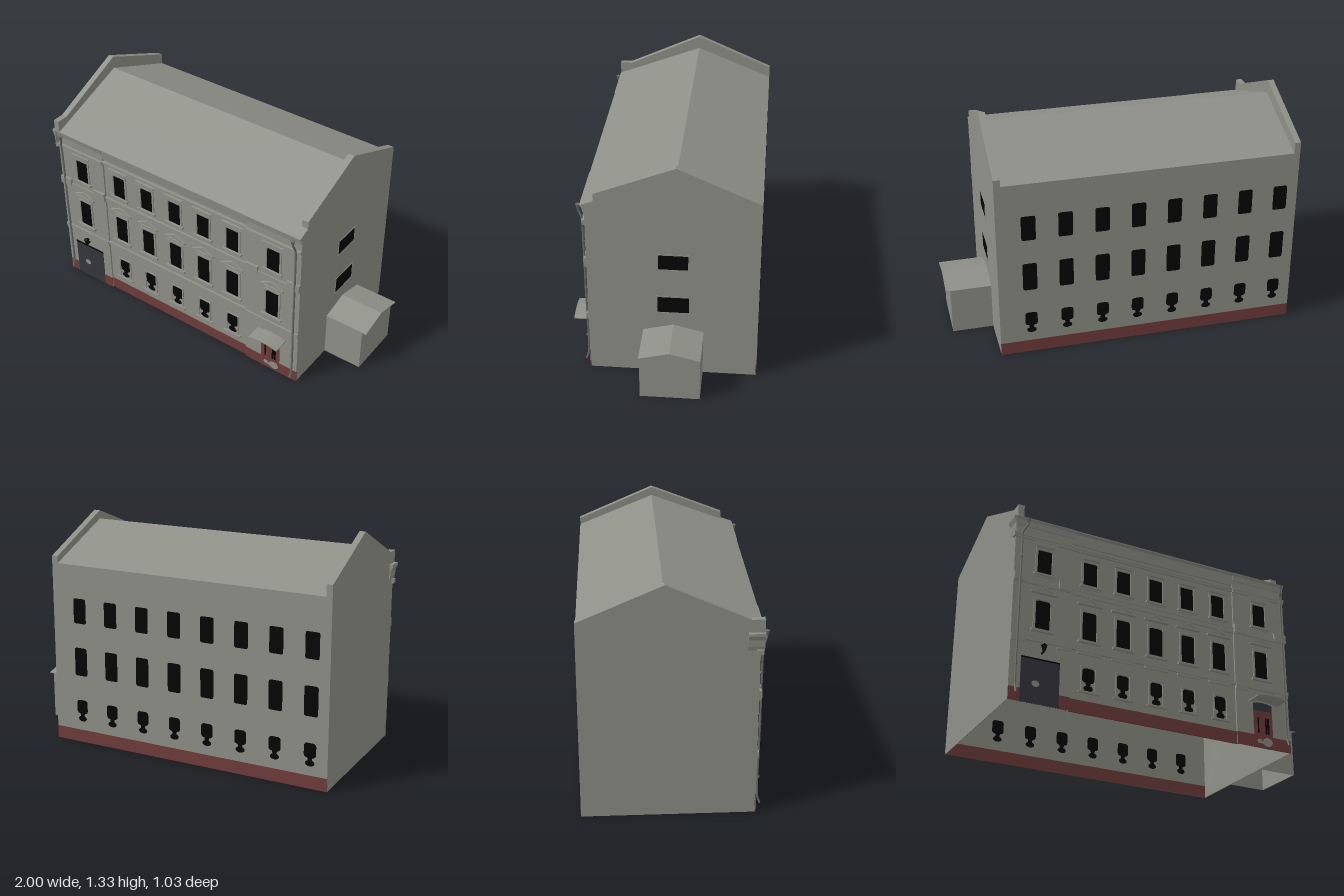
import * as THREE from 'three';

const mat = (name, color) => Object.assign(new THREE.MeshStandardMaterial({ color }), { name });

export function createModel() {
  const house = new THREE.Group();
  house.name = 'townHouse';
  const plaster = mat('greyPlaster', 0x8e8f87);
  const brick = mat('redPlinth', 0x6f3b3b);
  const glass = mat('blackGlass', 0x040404);
  const gateMat = mat('darkGate', 0x35353e);
  const metal = mat('pipeMetal', 0x6a6a66);
  const L = -0.98, R = 0.738, T = 0.004; // wall ends and wall thickness

  const add = (name, geo, material, parent = house) => {
    const m = new THREE.Mesh(geo, material);
    m.name = name;
    parent.add(m);
  };
  // box from its limits
  const box = (name, x0, x1, y0, y1, z0, z1, material = plaster) =>
    add(name, new THREE.BoxGeometry(x1 - x0, y1 - y0, z1 - z0)
      .translate((x0 + x1) / 2, (y0 + y1) / 2, (z0 + z1) / 2), material);
  const poly = pts => new THREE.Shape(pts.map(p => new THREE.Vector2(...p)));
  const extrude = (shape, depth) =>
    new THREE.ExtrudeGeometry(shape, { depth, bevelEnabled: false, curveSegments: 8 });
  // (z, y) profile swept along x
  const sweepX = (name, pts, x0, x1) =>
    add(name, extrude(poly(pts), x1 - x0).rotateY(-Math.PI / 2).translate(x1, 0, 0), plaster);
  // (x, y) shape extruded forward from z
  const plate = (name, shape, z, depth, material, parent = house) =>
    add(name, extrude(shape, depth).translate(0, 0, z), material, parent);
  // painted plate showing on both faces of a thin wall whose front is at z
  const inlay = (name, shape, z, material, parent = house) =>
    plate(name, shape, z - T - 0.001, T + 0.003, material, parent);
  const ellipse = (x, y, rx, ry) => new THREE.Shape().absellipse(x, y, rx, ry, 0, Math.PI * 2);
  const roundRect = (x, y0, y1, w, r) => {
    const s = new THREE.Shape(), a = x - w / 2, b = x + w / 2;
    s.moveTo(a + r, y0).lineTo(b - r, y0).quadraticCurveTo(b, y0, b, y0 + r);
    s.lineTo(b, y1 - r).quadraticCurveTo(b, y1, b - r, y1).lineTo(a + r, y1);
    s.quadraticCurveTo(a, y1, a, y1 - r).lineTo(a, y0 + r).quadraticCurveTo(a, y0, a + r, y0);
    return s;
  };
  const frame = (name, x, y0, y1, w, t, z, depth = 0.006, parent = house) => {
    const s = poly([[x - w / 2 - t, y0 - t], [x + w / 2 + t, y0 - t], [x + w / 2 + t, y1 + t], [x - w / 2 - t, y1 + t]]);
    s.holes.push(poly([[x - w / 2, y0], [x - w / 2, y1], [x + w / 2, y1], [x + w / 2, y0]]));
    plate(name, s, z, depth, plaster, parent);
  };

  // hollow shell, open below: front, rear, gables, roof
  box('frontWall', -0.64, 0.385, 0, 1.06, 0.41 - T, 0.41);
  box('rearWall', L, R, 0, 1.066, -0.515, -0.515 + T);
  const leftTop = [[0.44, 1.13], [0.37, 1.13], [-0.065, 1.325], [-0.515, 1.13]];
  const rightTop = [[0.37, 1.085], [0.37, 1.13], [-0.065, 1.30], [-0.515, 1.105]];
  const foot = [[-0.515, 0], [0.42, 0], [0.42, 1.02], [0.44, 1.06]];
  sweepX('leftGable', [...foot, ...leftTop], L, L + T);
  sweepX('rightGable', [...foot, ...rightTop], R - T, R);
  const underRoof = [[-0.515, 1.062], [-0.065, 1.247]];
  sweepX('leftParapet', [...underRoof, [0.44, 1.055], ...leftTop], L + T, -0.945);
  sweepX('rightParapet', [...underRoof, [0.37, 1.083], ...rightTop], 0.70, R - T);
  sweepX('roof', [[-0.515, 1.06], [-0.065, 1.244], [0.44, 1.054], [0.44, 1.06], [-0.065, 1.25], [-0.515, 1.066]], L + T, R - T);

  // projecting bays with their mouldings
  [[L, -0.64, -0.64 - T], [0.385, R, 0.385]].forEach(([a, b, inner]) => {
    box('bayWall', a, b, 0, 1.056, 0.42 - T, 0.42);
    box('bayReturn', inner, inner + T, 0, 1.056, 0.41 - T, 0.42 - T);
    sweepX('bayCornice', [[0.418, 1.015], [0.426, 1.015], [0.432, 1.045], [0.443, 1.056], [0.443, 1.06], [0.418, 1.06]], a, b);
    const strips = [['bayUpperMoulding', 0.94, 0.952, 0.43], ['bayUpperMoulding', 0.952, 0.966, 0.436],
      ['bayMiddleBand', 0.675, 0.70, 0.428], ['bayLowerBand', 0.345, 0.368, 0.43]];
    for (const [name, y0, y1, z] of strips) box(name, a, b, y0, y1, 0.418, z);
    for (const x of [a, b - 0.08]) {
      box('bayBlock', x, x + 0.08, 0.68, 0.73, 0.418, 0.435);
      box('bayBlock', x, x + 0.08, 0.33, 0.345, 0.418, 0.426);
    }
  });
  plate('corniceReturn', poly([[L, 0.96], [-0.986, 0.985], [-0.988, 1.02], [-1.0, 1.045], [-1.0, 1.06], [L, 1.06]]), 0.355, 0.085, plaster);
  box('bandReturn', -0.992, L, 0.94, 0.966, 0.40, 0.436);

  // centre section mouldings
  sweepX('centreCornice', [[0.408, 0.985], [0.418, 0.985], [0.426, 1.045], [0.44, 1.055], [0.408, 1.058]], -0.64, 0.385);
  const centre = [['upperMoulding', 0.945, 0.955, 0.42], ['upperMoulding', 0.955, 0.966, 0.426], ['middleBand', 0.675, 0.70, 0.418],
    ['middleBandCap', 0.70, 0.708, 0.423], ['lowerBand', 0.35, 0.368, 0.422]];
  for (const [name, y0, y1, z] of centre) box(name, -0.64, 0.385, y0, y1, 0.408, z);

  // front windows
  const columns = [-0.807, -0.53, -0.326, -0.123, 0.08, 0.283, 0.561];
  const smallWindow = (x, z, parent = house) => {
    inlay('groundPane', roundRect(x, 0.178, 0.26, 0.07, 0.02), z, glass, parent);
    inlay('groundPaneStem', poly([[x - 0.01, 0.155], [x + 0.01, 0.155], [x + 0.016, 0.182], [x - 0.016, 0.182]]), z, glass, parent);
    inlay('groundPaneFoot', ellipse(x, 0.146, 0.027, 0.017), z, glass, parent);
  };
  columns.forEach((x, i) => {
    const outer = i === 0 || i === 6, z = outer ? 0.42 : 0.41;
    inlay('upperPane', roundRect(x, 0.742, 0.89, 0.08, 0.006), z, glass);
    frame('upperFrame', x, 0.74, 0.893, 0.084, 0.012, z);
    box('upperSill', x - 0.064, x + 0.064, 0.735, 0.748, z, z + 0.016);
    plate('upperHood', poly([[x - 0.05, 0.908], [x + 0.05, 0.908], [x + 0.068, 0.935], [x - 0.068, 0.935]]), z, 0.015, plaster);
    inlay('middlePane', roundRect(x, 0.42, 0.588, 0.082, 0.014), z, glass);
    frame('middleFrame', x, 0.415, 0.592, 0.084, 0.012, z);
    box('middleSill', x - 0.066, x + 0.066, 0.403, 0.418, z, z + 0.016);
    const rim = poly([[x - 0.075, 0.627], [x + 0.075, 0.627], [x + 0.075, 0.635], [x, 0.672], [x - 0.075, 0.635]]);
    rim.holes.push(poly([[x - 0.05, 0.636], [x, 0.66], [x + 0.05, 0.636]]));
    plate('pedimentRim', rim, z, 0.017, plaster);
    plate('pedimentPanel', poly([[x - 0.06, 0.63], [x + 0.06, 0.63], [x, 0.665]]), z, 0.009, plaster);
    if (outer) return;
    smallWindow(x, z);
    frame('groundFrame', x, 0.13, 0.263, 0.076, 0.008, z);
    box('groundSill', x - 0.06, x + 0.06, 0.115, 0.126, z, z + 0.014);
    box('bandDrop', x - 0.07, x + 0.07, 0.335, 0.35, z, z + 0.008);
  });

  // rear windows
  const rear = new THREE.Group();
  rear.name = 'rearWindows';
  rear.rotation.y = Math.PI;
  house.add(rear);
  for (let i = 0; i < 8; i++) {
    const x = -0.56 + i * 0.2055;
    inlay('rearUpperPane', roundRect(x, 0.725, 0.872, 0.08, 0.012), 0.515, glass, rear);
    inlay('rearMiddlePane', roundRect(x, 0.41, 0.578, 0.08, 0.014), 0.515, glass, rear);
    smallWindow(x, 0.515, rear);
  }

  // red plinth, seen on both faces of the walls
  box('rearPlinth', L, R, 0, 0.075, -0.516, -0.514 + T, brick);
  for (const [a, b, z] of [[L, -0.917, 0.42], [-0.70, -0.64, 0.42], [-0.64, 0.385, 0.41], [0.385, R, 0.42]])
    box('frontPlinth', a, b, 0, 0.072, z - T - 0.001, z + 0.003, brick);

  // side windows
  const side = new THREE.Group();
  side.name = 'sideWindows';
  side.rotation.y = Math.PI / 2;
  house.add(side);
  for (const [y0, y1, w] of [[0.683, 0.77, 0.162], [0.403, 0.5, 0.172]]) {
    plate('sidePane', roundRect(0.049, y0, y1, w, 0.006), R - T - 0.001, T + 0.002, glass, side);
    frame('sideFrame', 0.049, y0 - 0.002, y1 + 0.002, w + 0.002, 0.007, R, 0.002, side);
  }

  // gate with lamp above
  box('gate', -0.917, -0.70, 0, 0.252, 0.415, 0.423, gateMat);
  box('gateTopGap', -0.917, -0.70, 0.244, 0.252, 0.422, 0.425, glass);
  plate('gateWornPatch', ellipse(-0.833, 0.11, 0.022, 0.018), 0.423, 0.001, plaster);
  add('lampShade', new THREE.CylinderGeometry(0.017, 0.007, 0.032, 8).translate(-0.803, 0.306, 0.449), glass);
  add('lampCap', new THREE.ConeGeometry(0.012, 0.014, 8).translate(-0.803, 0.329, 0.449), glass);
  box('lampBracket', -0.806, -0.80, 0.282, 0.292, 0.42, 0.452, glass);

  // entrance door with curved canopy
  box('door', 0.495, 0.62, 0, 0.22, 0.415, 0.4235, brick);
  const transom = new THREE.Shape();
  transom.moveTo(0.495, 0.22).lineTo(0.62, 0.22).lineTo(0.62, 0.262);
  transom.quadraticCurveTo(0.558, 0.28, 0.495, 0.262);
  inlay('doorTransom', transom, 0.42, gateMat);
  for (const [x, w] of [[0.524, 0.008], [0.575, 0.01], [0.59, 0.014]])
    plate('doorPane', roundRect(x, 0.085, 0.18, w, 0.003), 0.4235, 0.001, glass);
  for (const [x, y, rx, ry] of [[0.583, 0.037, 0.032, 0.026], [0.53, 0.038, 0.016, 0.014], [0.55, 0.032, 0.02, 0.008]])
    plate('doorWornPatch', ellipse(x, y, rx, ry), 0.4235, 0.001, plaster);
  const canopy = new THREE.Shape();
  canopy.moveTo(0.466, 0.266).quadraticCurveTo(0.562, 0.296, 0.659, 0.266);
  canopy.lineTo(0.659, 0.272).quadraticCurveTo(0.562, 0.302, 0.466, 0.272);
  plate('doorCanopy', canopy, 0.42, 0.097, plaster);

  // drain pipes
  for (const [x, top] of [[-0.947, -0.925], [0.71, 0.703]]) {
    const path = new THREE.CatmullRomCurve3([[top, 1.03, 0.457], [top, 1.01, 0.455], [x, 0.97, 0.438], [x, 0.93, 0.435],
      [x, 0.5, 0.433], [x, 0.09, 0.431], [x, 0.065, 0.436], [x, 0.035, 0.447]].map(p => new THREE.Vector3(...p)), false, 'centripetal');
    add('drainPipe', new THREE.TubeGeometry(path, 48, 0.006, 8), metal);
    add('pipeFunnel', new THREE.CylinderGeometry(0.013, 0.007, 0.025, 8).translate(top, 1.034, 0.457), metal);
    for (const y of [0.2, 0.52, 0.82])
      add('pipeClamp', new THREE.CylinderGeometry(0.008, 0.008, 0.01, 8).translate(x, y, 0.433), metal);
  }

  // side annex, hollow and open below
  sweepX('annexEndWall', [[-0.215, 0], [0.115, 0], [0.115, 0.277], [-0.05, 0.316], [-0.215, 0.277]], 0.9735 - T, 0.9735);
  box('annexFrontWall', R, 0.9735 - T, 0, 0.278, 0.115 - T, 0.115);
  box('annexRearWall', R, 0.9735 - T, 0, 0.278, -0.215, -0.215 + T);
  sweepX('annexRoof', [[-0.218, 0.275], [-0.05, 0.316], [0.117, 0.275], [0.117, 0.279], [-0.05, 0.32], [-0.218, 0.279]], R, 1.0);
  return house;
}
